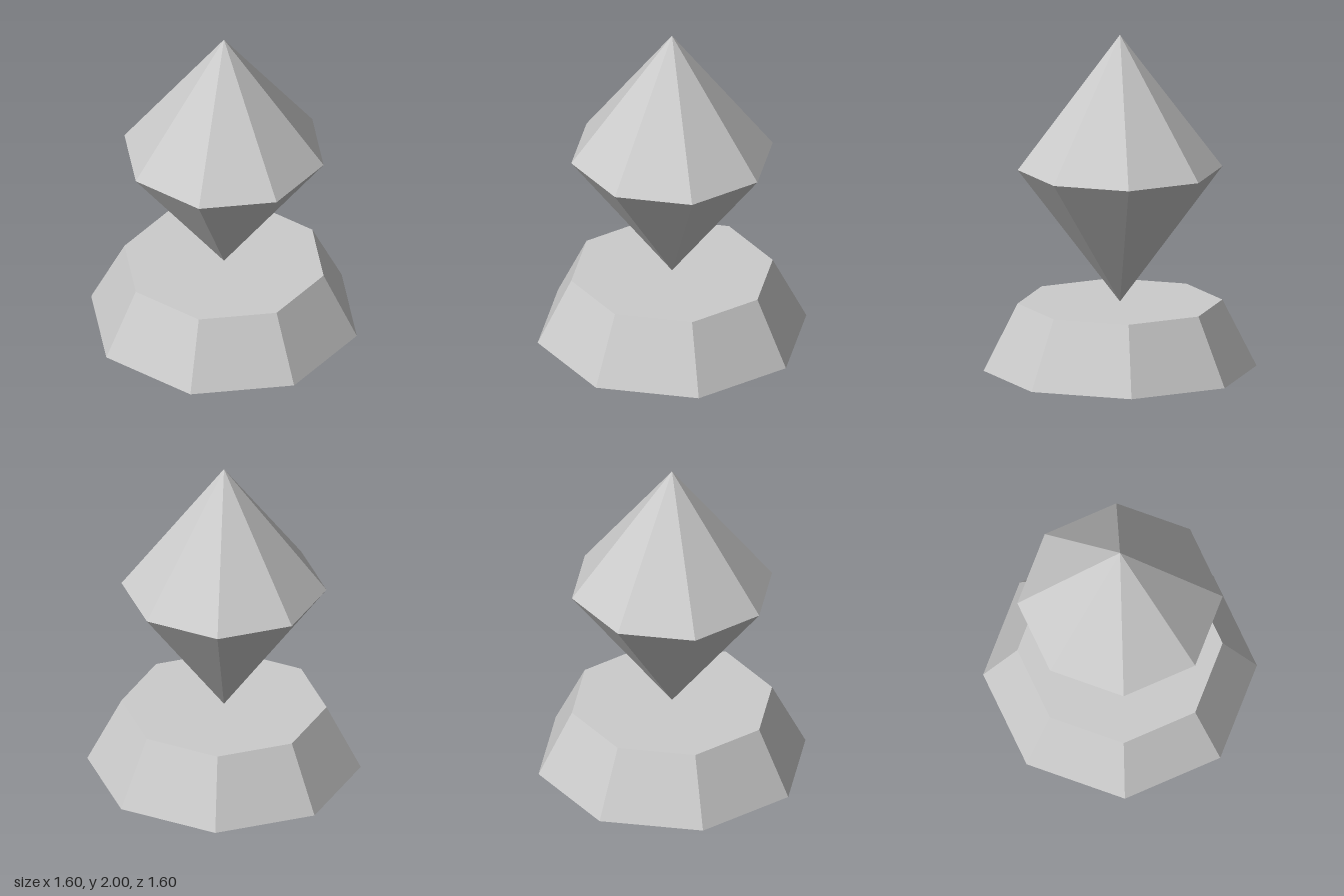
import * as THREE from 'three';

const SIDES = 8;

export function createModel() {
  const model = new THREE.Group();
  const material = new THREE.MeshStandardMaterial({ color: 0xcccccc, flatShading: true });

  // Eight-sided frustum or cone standing from y = bottom to y = top
  const addTier = (parent, name, topRadius, bottomRadius, bottom, top, open) => {
    const geometry = new THREE.CylinderGeometry(topRadius, bottomRadius, top - bottom, SIDES, 1, open);
    const mesh = new THREE.Mesh(geometry, material);
    mesh.name = name;
    mesh.position.y = (bottom + top) / 2;
    parent.add(mesh);
  };

  // Tapered pedestal, closed at both ends
  addTier(model, 'pedestal', 0.6, 0.8, 0, 0.4, false);

  // Crystal balanced on its point: two cones sharing an open girdle
  const crystal = new THREE.Group();
  crystal.name = 'crystal';
  addTier(crystal, 'crystalLower', 0.6, 0, 0.4, 1.2, true);
  addTier(crystal, 'crystalUpper', 0, 0.6, 1.2, 2, true);
  model.add(crystal);

  return model;
}
